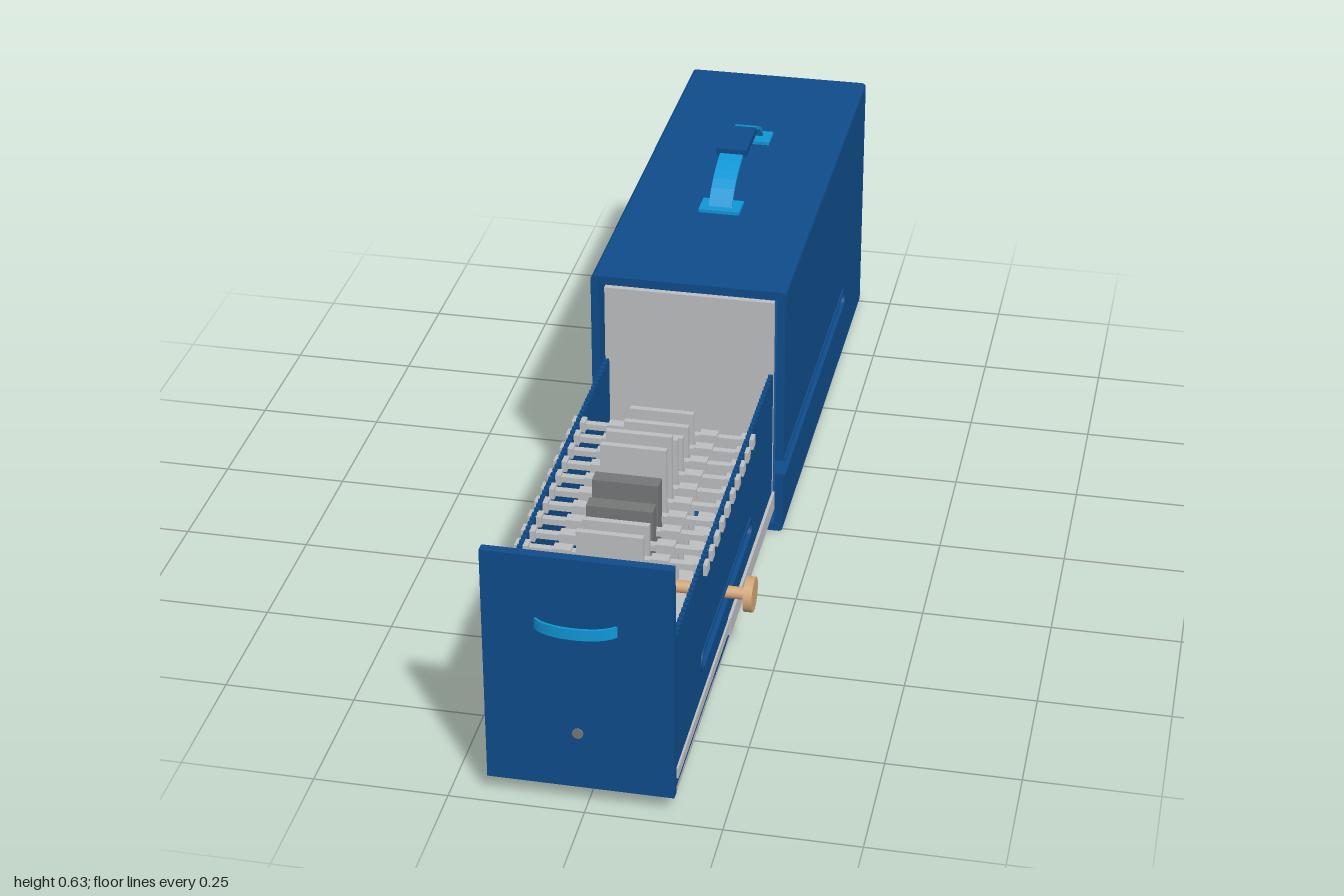
import * as THREE from 'three';

const mat = (name, color, side = THREE.FrontSide) => {
  const m = new THREE.MeshStandardMaterial({ color, side });
  m.name = name;
  return m;
};

export function createModel() {
  const blue = mat('deep blue', 0x0f4c8a);
  const bright = mat('bright blue', 0x1097d6);
  const grey = mat('light grey', 0xbcbec0);
  const dark = mat('dark grey', 0x757778);
  const tan = mat('tan', 0xd2a679);
  const CX = -0.015; // middle of the cabinet
  const model = new THREE.Group();
  model.name = 'cardFileCabinet';

  const group = (name) => {
    const g = new THREE.Group();
    g.name = name;
    model.add(g);
    return g;
  };
  const add = (parent, name, geometry, material) => {
    const m = new THREE.Mesh(geometry, material);
    m.name = name;
    parent.add(m);
    return m;
  };
  // box given by its limits on each axis
  const box = (parent, name, material, x0, x1, y0, y1, z0, z1) => {
    const m = add(parent, name, new THREE.BoxGeometry(x1 - x0, y1 - y0, z1 - z0), material);
    m.position.set((x0 + x1) / 2, (y0 + y1) / 2, (z0 + z1) / 2);
    return m;
  };
  const extrude = (shape, depth) =>
    new THREE.ExtrudeGeometry(shape, { depth, bevelEnabled: false, curveSegments: 16 });
  // profile in the z-y plane, spanning x0 to x1
  const sideExtrude = (shape, x0, x1) => extrude(shape, x1 - x0).rotateY(-Math.PI / 2).translate(x1, 0, 0);
  const rod = (parent, name, material, r, x0, x1, y, z) => {
    const m = add(parent, name, new THREE.CylinderGeometry(r, r, x1 - x0, 28).rotateZ(Math.PI / 2), material);
    m.position.set((x0 + x1) / 2, y, z);
    return m;
  };
  const stadium = (target, z0, z1, y, r) => {
    target.moveTo(z0 + r, y - r);
    target.lineTo(z1 - r, y - r);
    target.absarc(z1 - r, y, r, -Math.PI / 2, Math.PI / 2, false);
    target.absarc(z0 + r, y, r, Math.PI / 2, Math.PI * 1.5, false);
    return target;
  };
  // curved strip from a to b, rising to a peak
  const band = (a, b, base, peak, t) => {
    const s = new THREE.Shape(), c = base + (peak - base) / 0.75, k = (b - a) * 0.14;
    s.moveTo(a, base);
    s.bezierCurveTo(a + k, c, b - k, c, b, base);
    s.lineTo(b - t, base);
    s.bezierCurveTo(b - k - t, c - t * 1.3, a + k + t, c - t * 1.3, a + t, base);
    s.closePath();
    return s;
  };

  // Outer case: rounded C-shaped shell, back and slotted side wall
  const outer = group('case');
  const L = -0.21, R = 0.18, H = 0.545, T = 0.017, r = 0.01;
  const shell = new THREE.Shape();
  shell.moveTo(R, T);
  shell.lineTo(R, r);
  shell.quadraticCurveTo(R, 0, R - r, 0);
  shell.lineTo(L + r, 0);
  shell.quadraticCurveTo(L, 0, L, r);
  shell.lineTo(L, H - r);
  shell.quadraticCurveTo(L, H, L + r, H);
  shell.lineTo(R - r, H);
  shell.quadraticCurveTo(R, H, R, H - r);
  shell.lineTo(R, H - T);
  shell.lineTo(L + T, H - T);
  shell.lineTo(L + T, T);
  shell.closePath();
  add(outer, 'caseShell', extrude(shell, 1.01).translate(0, 0, -1), blue);
  box(outer, 'caseBack', blue, L + T, R - T, T, H - T, -1, -0.985);

  const slotY = 0.15, slotEnd = -0.725;
  const wall = new THREE.Shape();
  wall.moveTo(-1, T);
  wall.lineTo(0.01, T);
  wall.lineTo(0.01, slotY - 0.016);
  wall.lineTo(slotEnd, slotY - 0.016);
  wall.absarc(slotEnd, slotY, 0.016, -Math.PI / 2, Math.PI / 2, true);
  wall.lineTo(0.01, slotY + 0.016);
  wall.lineTo(0.01, H - T);
  wall.lineTo(-1, H - T);
  wall.closePath();
  add(outer, 'slottedWall', sideExtrude(wall, R - T, R), blue);

  const rim = new THREE.Shape();
  rim.moveTo(0.01, slotY - 0.022);
  rim.lineTo(slotEnd, slotY - 0.022);
  rim.absarc(slotEnd, slotY, 0.022, -Math.PI / 2, Math.PI / 2, true);
  rim.lineTo(0.01, slotY + 0.022);
  rim.lineTo(0.01, slotY + 0.016);
  rim.lineTo(slotEnd, slotY + 0.016);
  rim.absarc(slotEnd, slotY, 0.016, Math.PI / 2, Math.PI * 1.5, false);
  rim.lineTo(0.01, slotY - 0.016);
  rim.closePath();
  add(outer, 'slotRim', sideExtrude(rim, R - 0.001, R + 0.004), blue);

  // Carrying handle on the lid
  const handle = group('carryHandle');
  add(handle, 'strap', sideExtrude(band(-0.68, -0.32, 0.55, 0.621, 0.007), CX - 0.024, CX + 0.024), bright);
  box(handle, 'grip', blue, CX - 0.031, CX + 0.031, 0.611, 0.626, -0.555, -0.44);
  for (const z of [-0.33, -0.67]) {
    box(handle, 'handleFoot', bright, CX - 0.042, CX + 0.042, H, H + 0.007, z - 0.027, z + 0.027);
  }

  // Drawer: floor, toothed side walls, front and back plates
  const drawer = group('drawer');
  const DL = -0.185, DR = 0.155;
  box(drawer, 'drawerFloor', grey, DL, DR, 0.026, 0.038, -0.005, 0.96);
  box(drawer, 'floorStrip', blue, CX - 0.027, CX + 0.027, 0.038, 0.042, 0, 0.94);
  box(drawer, 'floorRail', grey, -0.145, -0.13, 0.038, 0.06, 0, 0.94);
  box(drawer, 'drawerBack', grey, DL, DR, 0.038, 0.515, -0.012, 0);
  box(drawer, 'drawerFront', blue, -0.183, 0.158, 0.036, 0.513, 0.957, 0.975);

  const sideShape = () => {
    const s = new THREE.Shape();
    s.moveTo(0, 0.034);
    s.lineTo(0.957, 0.034);
    s.lineTo(0.957, 0.36);
    const n = 60, step = 0.957 / n;
    for (let i = 0; i < n; i++) {
      const z = 0.957 - i * step;
      s.lineTo(z - step * 0.5, 0.36);
      s.lineTo(z - step * 0.5, 0.355);
      s.lineTo(z - step, 0.355);
      if (i < n - 1) s.lineTo(z - step, 0.36);
    }
    s.closePath();
    return s;
  };
  add(drawer, 'leftSide', sideExtrude(sideShape(), DL, DL + 0.008), blue);
  const slotted = sideShape();
  slotted.holes.push(stadium(new THREE.Path(), 0.235, 0.72, slotY, 0.016));
  add(drawer, 'slottedSide', sideExtrude(slotted, DR - 0.008, DR), blue);
  const ring = stadium(new THREE.Shape(), 0.228, 0.727, slotY, 0.023);
  ring.holes.push(stadium(new THREE.Path(), 0.235, 0.72, slotY, 0.016));
  add(drawer, 'drawerSlotRim', sideExtrude(ring, DR - 0.001, DR + 0.003), blue);

  // Telescopic runners on both sides
  for (const [a, b] of [[DL - 0.006, DL], [DR, DR + 0.006]]) {
    box(drawer, 'rearRunner', grey, a, b, 0.045, 0.083, -0.005, 0.465);
    box(drawer, 'frontRunner', grey, a + 0.001, b - 0.001, 0.062, 0.083, 0.465, 0.95);
  }

  // Drawer pull and lock
  add(drawer, 'drawerPull',
    extrude(band(-0.09, 0.06, 0.974, 0.999, 0.005), 0.022).rotateX(Math.PI / 2).translate(0, 0.387, 0), bright);
  const lock = add(drawer, 'lock', new THREE.CylinderGeometry(0.01, 0.01, 0.005, 24).rotateX(Math.PI / 2), dark);
  lock.position.set(CX, 0.153, 0.976);

  // Cross bars with hanging cards
  const cards = group('cardRack');
  const tops = [0.40, 0.40, 0.405, 0.43, 0.465, 0.465, 0.43, 0.405, 0.395, 0.40];
  tops.forEach((top, i) => {
    const z = 0.245 + i * 0.05;
    const shade = i === 6 || i === 7 ? dark : grey;
    box(cards, 'crossBar', grey, DL - 0.007, DR + 0.008, 0.338, 0.35, z - 0.007, z + 0.007);
    for (const s of [-1, 1]) {
      const x = CX + s * 0.09, e = CX + s * 0.165;
      box(cards, 'barCollar', grey, x - 0.017, x + 0.017, 0.334, 0.355, z - 0.011, z + 0.011);
      box(cards, 'barEnd', grey, e - 0.013, e + 0.013, 0.333, 0.355, z - 0.012, z + 0.012);
    }
    box(cards, 'card', shade, CX - 0.062, CX + 0.062, 0.12, top, z + 0.004, z + (shade === dark ? 0.034 : 0.016));
    box(cards, 'cardTab', shade, CX - 0.05, CX + 0.05, 0.12, top - 0.02, z - 0.012, z - 0.004);
  });

  // Clamp rod with turning knob
  const clamp = group('clamp');
  rod(clamp, 'clampRod', tan, 0.012, -0.13, 0.192, slotY, 0.475);
  rod(clamp, 'clampKnob', tan, 0.034, 0.191, 0.208, slotY, 0.475);

  return model;
}
